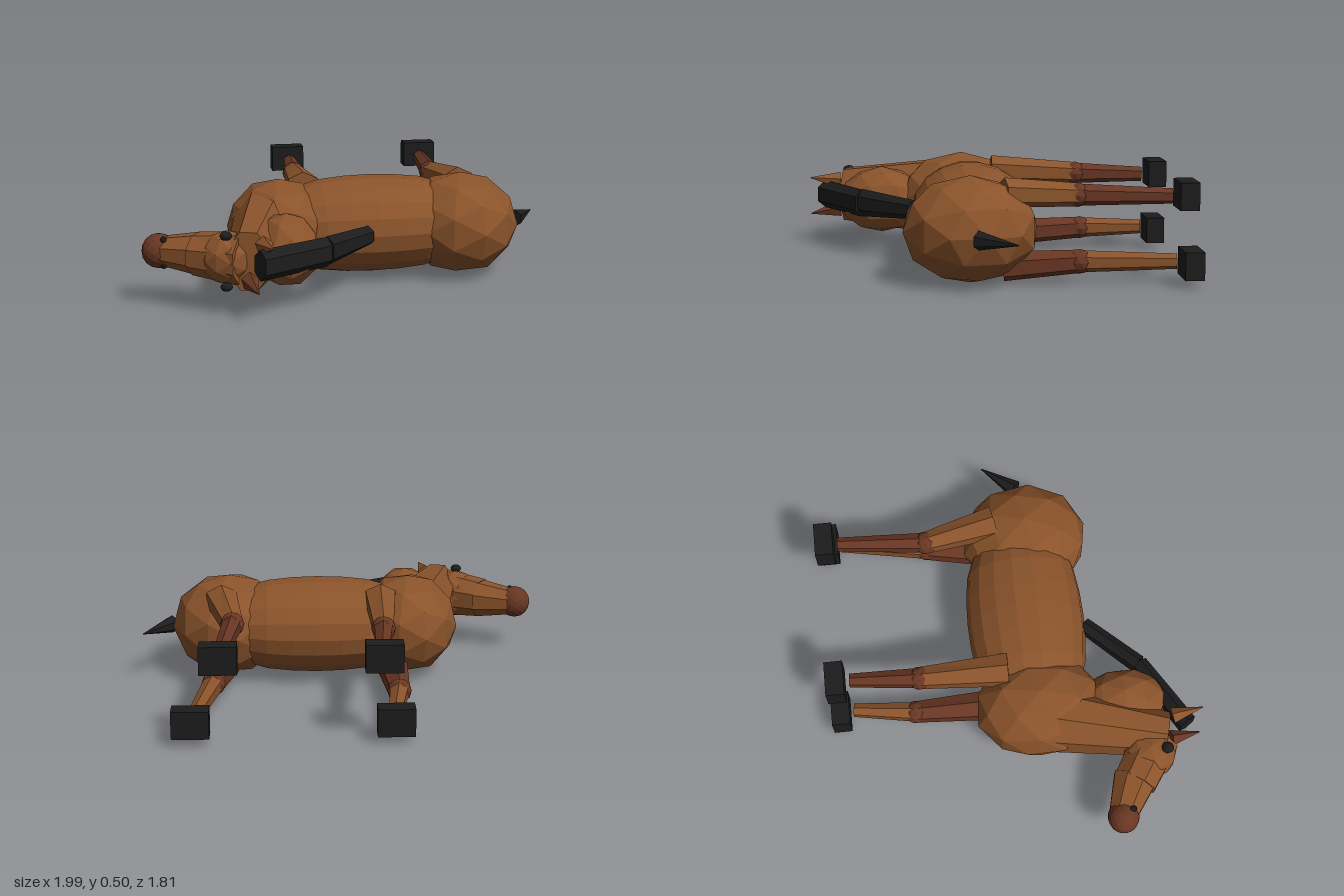
import * as THREE from 'three';

const MID = 0.262; // height of the plane of symmetry: the horse lies on its side

export function createModel() {
  const group = new THREE.Group();
  const material = (name, color) => {
    const m = new THREE.MeshStandardMaterial({ color, flatShading: true });
    m.name = name;
    return m;
  };
  const coat = material('coat brown', 0x8a532b);
  const dark = material('dark brown', 0x683623);
  const black = material('black', 0x1c1c1c);

  const add = (name, geometry, mat) => {
    const mesh = new THREE.Mesh(geometry, mat);
    mesh.name = name;
    group.add(mesh);
    return mesh;
  };

  // Faceted ellipsoid
  const blob = (name, mat, [x, y, z], [rx, ry, rz], detail = 1, turn = 0) => {
    const g = new THREE.IcosahedronGeometry(1, detail);
    g.rotateY(turn);
    g.scale(rx, ry, rz);
    g.translate(x, y, z);
    return add(name, g, mat);
  };

  // Tapered prism from a to b; width is its radius in the xz plane, depth its radius along y
  const limb = (name, mat, a, b, [w0, w1], [d0, d1], sides = 6, spin = 0) => {
    const A = new THREE.Vector3(...a), B = new THREE.Vector3(...b);
    const axis = B.clone().sub(A);
    const g = new THREE.CylinderGeometry(1, 1, axis.length(), sides);
    g.rotateY(spin);
    const p = g.attributes.position;
    for (let i = 0; i < p.count; i++) {
      const end = p.getY(i) > 0;
      p.setX(i, p.getX(i) * (end ? w1 : w0));
      p.setZ(i, p.getZ(i) * (end ? d1 : d0));
    }
    g.computeVertexNormals();
    const yAxis = axis.normalize();
    const xAxis = new THREE.Vector3().crossVectors(yAxis, new THREE.Vector3(0, 1, 0)).normalize();
    const zAxis = new THREE.Vector3().crossVectors(xAxis, yAxis);
    g.applyMatrix4(new THREE.Matrix4().makeBasis(xAxis, yAxis, zAxis));
    g.translate((A.x + B.x) / 2, (A.y + B.y) / 2, (A.z + B.z) / 2);
    return add(name, g, mat);
  };

  // Trunk
  const profile = [[0, -0.45], [0.75, -0.4], [0.93, -0.25], [0.985, -0.12], [1, 0], [0.985, 0.12], [0.93, 0.25], [0.75, 0.4], [0, 0.45]];
  const barrel = new THREE.LatheGeometry(profile.map(([r, t]) => new THREE.Vector2(r, t)), 18);
  barrel.rotateZ(-Math.PI / 2);
  barrel.scale(1, 0.236, 0.292);
  barrel.translate(0.13, 0.265, 0.1);
  add('barrel', barrel, coat);
  blob('rump', coat, [0.575, MID, 0.14], [0.285, 0.25, 0.32], 1, 0.2);
  blob('chest', coat, [-0.325, MID, 0.12], [0.25, 0.243, 0.325], 1, 0.3);

  // Neck
  limb('neck', coat, [-0.4, MID, 0.2], [-0.535, MID, 0.72], [0.16, 0.105], [0.21, 0.145], 8, Math.PI / 8);
  blob('neckCrest', coat, [-0.34, MID, 0.53], [0.155, 0.17, 0.22]);

  // Head
  blob('skull', coat, [-0.62, MID, 0.625], [0.125, 0.125, 0.13]);
  limb('cheek', coat, [-0.55, MID, 0.665], [-0.755, MID, 0.535], [0.12, 0.11], [0.125, 0.1], 8, Math.PI / 8);
  limb('nose', coat, [-0.74, MID, 0.535], [-0.9, MID, 0.46], [0.11, 0.075], [0.1, 0.07], 8, Math.PI / 8);
  blob('muzzle', dark, [-0.92, MID, 0.457], [0.08, 0.082, 0.076], 2);

  // Paired head details
  for (const s of [1, -1]) {
    blob('eye', black, [-0.633, MID + s * 0.118, 0.7], [0.028, 0.02, 0.03], 2);
    const x = s > 0 ? -0.47 : -0.535;
    limb('ear', s > 0 ? coat : dark, [x, MID + s * 0.08, 0.75], [x + 0.025, MID + s * 0.1, 0.9], [0.042, 0.002], [0.045, 0.002], 5);
    blob('nostril', black, [-0.9, MID + s * 0.06, 0.5], [0.016, 0.016, 0.02]);
  }

  // Mane in two locks, and tail
  limb('upperMane', black, [-0.495, 0.27, 0.825], [-0.165, 0.27, 0.635], [0.05, 0.042], [0.072, 0.07]);
  limb('lowerMane', black, [-0.165, 0.272, 0.63], [0.07, 0.272, 0.385], [0.042, 0.04], [0.07, 0.048]);
  limb('tail', black, [0.86, MID, 0.125], [0.995, MID, -0.04], [0.045, 0.002], [0.045, 0.002], 6);

  // Legs: hip, knee and ankle as [x, z], then the hoof centre
  const legs = [
    { name: 'leftFront', s: 1, hip: [-0.18, -0.02], knee: [-0.17, -0.45], ankle: [-0.145, -0.79], hoof: [-0.15, -0.86] },
    { name: 'rightFront', s: -1, hip: [-0.24, -0.02], knee: [-0.245, -0.49], ankle: [-0.205, -0.8], hoof: [-0.205, -0.865] },
    { name: 'leftHind', s: 1, hip: [0.605, -0.01], knee: [0.54, -0.36], ankle: [0.58, -0.8], hoof: [0.585, -0.865] },
    { name: 'rightHind', s: -1, hip: [0.6, -0.01], knee: [0.635, -0.36], ankle: [0.7, -0.8], hoof: [0.715, -0.865] },
  ];
  for (const { name, s, hip, knee, ankle, hoof } of legs) {
    const at = ([x, z], offset) => [x, MID + s * offset, z];
    const [upper, lower] = s > 0 ? [coat, dark] : [dark, coat];
    limb(name + 'UpperLeg', upper, at(hip, 0.172), at(knee, 0.148), [0.085, 0.055], [0.07, 0.055]);
    blob(name + 'Knee', dark, at(knee, 0.148), [0.058, 0.058, 0.06]);
    limb(name + 'LowerLeg', lower, at(knee, 0.148), at(ankle, 0.142), [0.05, 0.034], [0.052, 0.036]);
    const box = new THREE.BoxGeometry(0.17, 0.13, 0.09);
    box.translate(...at(hoof, 0.15));
    add(name + 'Hoof', box, black);
  }

  return group;
}
